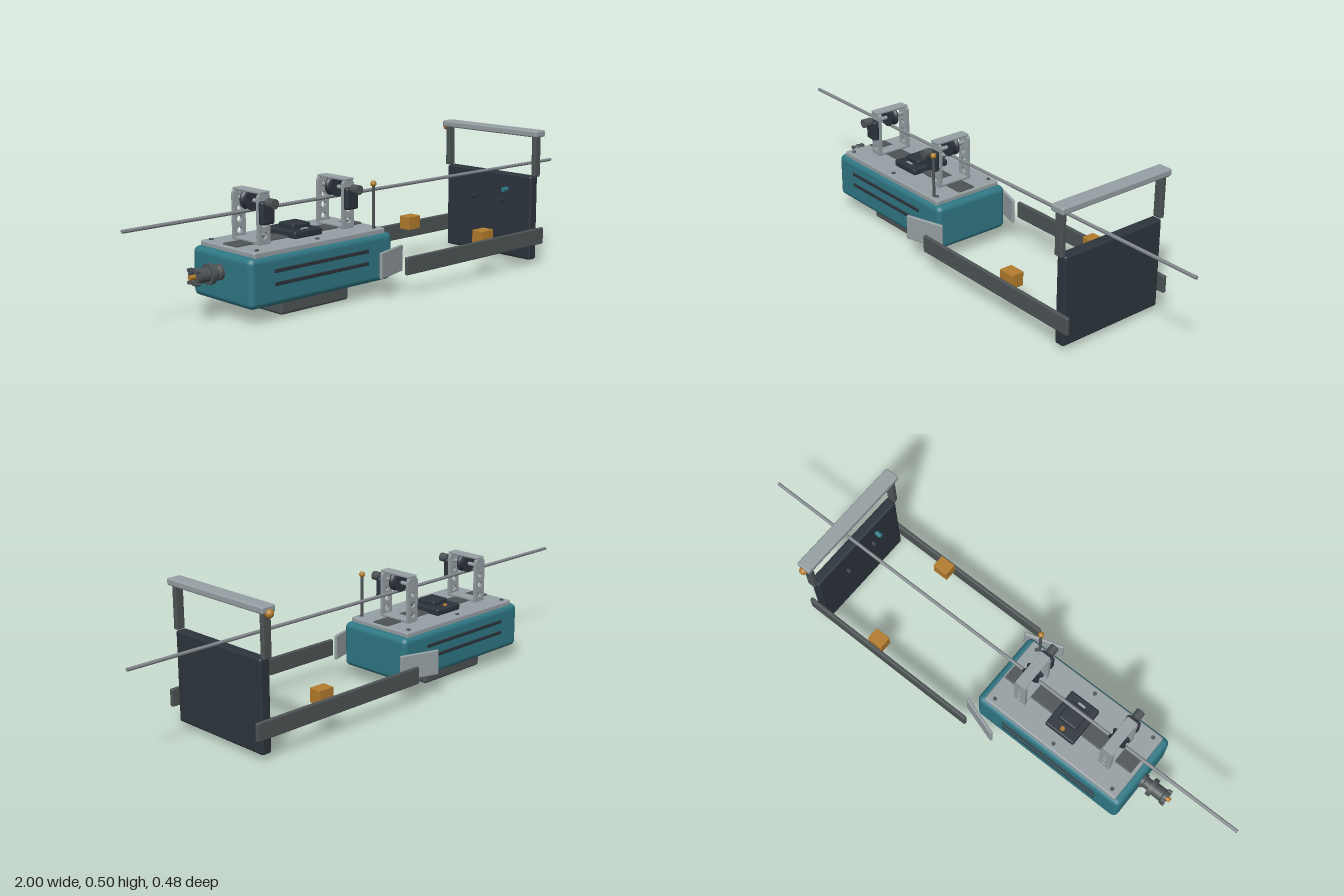
import * as THREE from 'three';
import { RoundedBoxGeometry } from 'three/addons/geometries/RoundedBoxGeometry.js';

const mat = (name, color) => {
  const m = new THREE.MeshStandardMaterial({ color });
  m.name = name;
  return m;
};

export function createModel() {
  const teal = mat('teal paint', 0x2f7784);
  const light = mat('light metal', 0x969fa3);
  const steel = mat('dark steel', 0x4d5355);
  const dark = mat('charcoal', 0x2c343c);
  const gold = mat('brass', 0xb27c2c);
  const wire = mat('cable steel', 0x80868a);

  const model = new THREE.Group();
  model.name = 'cableInspectionTrolley';
  const C = 0.0075; // middle plane of the machine

  const add = (name, geo, material, x = 0, y = 0, z = 0, parent = model) => {
    const m = new THREE.Mesh(geo, material);
    m.name = name;
    m.position.set(x, y, z);
    parent.add(m);
    return m;
  };
  // box from its limits on each axis
  const box = (name, material, [x0, x1], [y0, y1], [z0, z1], r = 0.004, parent = model) =>
    add(name, new RoundedBoxGeometry(x1 - x0, y1 - y0, z1 - z0, 3, r), material,
      (x0 + x1) / 2, (y0 + y1) / 2, (z0 + z1) / 2, parent);
  // cylinder along a chosen axis
  const rod = (name, material, axis, r, len, x, y, z, parent = model) => {
    const g = new THREE.CylinderGeometry(r, r, len, 24);
    if (axis === 'x') g.rotateZ(Math.PI / 2);
    if (axis === 'z') g.rotateX(Math.PI / 2);
    return add(name, g, material, x, y, z, parent);
  };

  // Cable
  rod('cable', wire, 'x', 0.006, 2, 0, 0.336, C);

  // Housing, lid, rail and belly pack
  box('housing', teal, [-0.643, -0.03], [0.055, 0.217], [C - 0.149, C + 0.149], 0.02);
  box('lid', light, [-0.618, -0.055], [0.21, 0.233], [C - 0.137, C + 0.137], 0.006);
  box('rail', steel, [-0.606, -0.063], [0.228, 0.238], [C - 0.034, C + 0.034], 0.003);
  box('bellyPack', steel, [-0.484, -0.19], [0.003, 0.06], [C - 0.102, C + 0.102], 0.01);
  rod('bellyContact', gold, 'x', 0.008, 0.03, -0.493, 0.033, C);
  for (const s of [-1, 1]) {
    for (const y of [0.126, 0.168])
      box('coolingSlot', dark, [-0.548, -0.145], [y - 0.006, y + 0.006],
        [C + s * 0.149 - 0.004, C + s * 0.149 + 0.004], 0.002);
    for (const x of [-0.59, -0.34, -0.085])
      rod('lidScrew', steel, 'y', 0.007, 0.006, x, 0.234, C + s * 0.115);
  }

  // Round connector on the end of the housing
  const profile = [[0, 0], [0.026, 0], [0.026, 0.012], [0.02, 0.016], [0.02, 0.036], [0.034, 0.036],
    [0.034, 0.052], [0.024, 0.052], [0.024, 0.088], [0.028, 0.092], [0.028, 0.104], [0.016, 0.104],
    [0.016, 0.094], [0, 0.094]].map(([r, h]) => new THREE.Vector2(r, h));
  // repeated points keep the turned edges sharp
  const lathe = new THREE.LatheGeometry(profile, 28).toNonIndexed();
  lathe.computeVertexNormals();
  add('connector', lathe.rotateZ(Math.PI / 2), steel, -0.642, 0.155, C - 0.004);
  rod('connectorPin', gold, 'x', 0.008, 0.04, -0.741, 0.155, C - 0.004);
  for (let i = 0; i < 4; i++) {
    const a = i * Math.PI / 2 + Math.PI / 4;
    rod('connectorLug', steel, 'x', 0.006, 0.014, -0.744,
      0.155 + 0.028 * Math.sin(a), C - 0.004 + 0.028 * Math.cos(a));
  }

  // Control box in the middle of the lid
  box('controlBase', dark, [-0.395, -0.275], [0.232, 0.256], [C - 0.08, C + 0.07], 0.006);
  box('controlTop', dark, [-0.373, -0.298], [0.25, 0.273], [C - 0.04, C + 0.036], 0.006);
  rod('controlLamp', gold, 'y', 0.008, 0.008, -0.335, 0.258, -0.053);
  box('controlSwitch', light, [-0.35, -0.32], [0.254, 0.26], [0.05, 0.058], 0.002);

  // Wheel towers riding on the cable
  const plate = new THREE.Shape();
  plate.moveTo(-0.024, 0.236);
  plate.lineTo(0.024, 0.236);
  plate.lineTo(0.024, 0.38);
  plate.quadraticCurveTo(0.024, 0.396, 0.01, 0.396);
  plate.lineTo(-0.01, 0.396);
  plate.quadraticCurveTo(-0.024, 0.396, -0.024, 0.38);
  plate.closePath();
  for (const [x, y, r] of [[0, 0.262, 0.011], [0, 0.3, 0.011], [0, 0.335, 0.009]]) {
    const hole = new THREE.Path();
    hole.absarc(x, y, r, 0, Math.PI * 2, true);
    plate.holes.push(hole);
  }
  const plateGeo = new THREE.ExtrudeGeometry(plate, { depth: 0.012, bevelEnabled: false, curveSegments: 10 });
  const wheelProfile = [[0, -0.015], [0.034, -0.015], [0.034, -0.011], [0.028, -0.004], [0.028, 0.004],
    [0.034, 0.011], [0.034, 0.015], [0, 0.015]].map(([r, h]) => new THREE.Vector2(r, h));
  const wheelGeo = new THREE.LatheGeometry(wheelProfile, 32).toNonIndexed();
  wheelGeo.computeVertexNormals();
  wheelGeo.rotateX(Math.PI / 2);

  for (const x of [-0.517, -0.155]) {
    const tower = new THREE.Group();
    tower.name = 'wheelTower';
    tower.position.set(x, 0, C);
    model.add(tower);
    for (const z of [-0.07, 0.054]) add('towerPlate', plateGeo, light, 0, 0, z, tower);
    box('towerCap', light, [-0.02, 0.02], [0.396, 0.404], [-0.068, 0.069], 0.002, tower);
    box('towerFoot', light, [-0.022, 0.022], [0.234, 0.244], [-0.068, 0.066], 0.002, tower);
    rod('axle', light, 'z', 0.007, 0.136, 0, 0.369, -0.003, tower);
    add('wheel', wheelGeo, dark, 0, 0.37, 0, tower);
    box('gearbox', dark, [-0.027, 0.027], [0.3, 0.375], [0.066, 0.088], 0.008, tower);
    rod('motor', steel, 'z', 0.016, 0.032, 0, 0.37, 0.103, tower);
  }

  // Antenna
  rod('antenna', steel, 'y', 0.005, 0.15, -0.094, 0.306, 0.128);
  add('antennaTip', new THREE.SphereGeometry(0.0105, 20, 14), gold, -0.094, 0.385, 0.128);

  // Arms, angled brackets and brass blocks on both sides
  for (const s of [-1, 1]) {
    const z = C + s * 0.211;
    box('arm', steel, [-0.03, 0.692], [0.077, 0.138], [z - 0.007, z + 0.007], 0.004);
    const b = add('armBracket', new RoundedBoxGeometry(0.15, 0.09, 0.011, 3, 0.004), light,
      -0.069, 0.125, C + s * 0.181);
    b.rotation.y = s * 0.3;
    const zb = C + s * 0.181;
    box('brassBlock', gold, [0.362, 0.422], [0.118, 0.168], [zb - 0.024, zb + 0.024], 0.002);
    // post carrying the top bar
    box('barPost', steel, [0.63, 0.662], [0.333, 0.484], [z - 0.009, z + 0.009], 0.004);
    rod('shieldKnob', dark, 'x', 0.009, 0.018, 0.621, 0.23, C + s * 0.068);
  }

  // End shield and top bar
  box('endShield', dark, [0.627, 0.666], [0.021, 0.334], [C - 0.206, C + 0.206], 0.008);
  box('topBar', light, [0.62, 0.674], [0.48, 0.504], [-0.223, 0.238], 0.006);
  add('barBeacon', new THREE.SphereGeometry(0.0145, 20, 14), gold, 0.647, 0.48, -0.224);
  rod('shieldLamp', teal, 'x', 0.009, 0.026, 0.617, 0.275, 0.1);

  return model;
}
